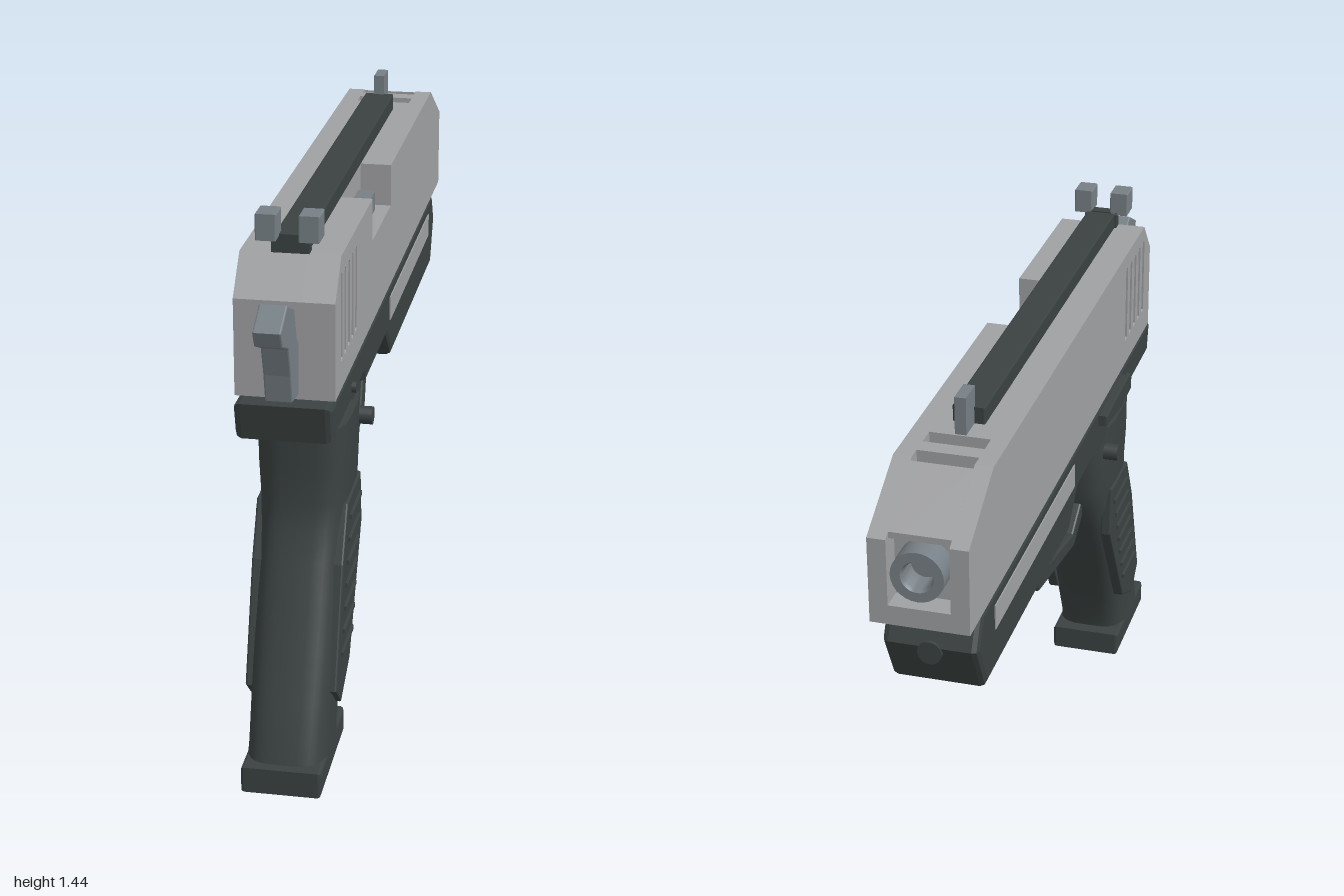
import * as THREE from 'three';
import { toCreasedNormals } from 'three/addons/utils/BufferGeometryUtils.js';

const mat = (name, color) => {
  const m = new THREE.MeshStandardMaterial({ color });
  m.name = name;
  return m;
};

export function createModel() {
  const root = new THREE.Group();
  root.name = 'pistol';
  const slideGrey = mat('slide grey', 0xa0a1a3);
  const steel = mat('blue steel', 0x778086);
  const dark = mat('dark polymer', 0x3a4241);

  const add = (name, geo, material) => {
    const mesh = new THREE.Mesh(geo, material);
    mesh.name = name;
    root.add(mesh);
    return mesh;
  };
  const vecs = (pts) => pts.map(([a, b]) => new THREE.Vector2(a, b));

  // Side profile given as [z, y], filled between x0 and x1
  const slab = (name, pts, x0, x1, material, bevel = 0, holes = []) => {
    const shape = new THREE.Shape(vecs(pts));
    holes.forEach((h) => shape.holes.push(new THREE.Path(vecs(h))));
    const geo = new THREE.ExtrudeGeometry(shape, {
      depth: x1 - x0 - 2 * bevel, bevelEnabled: bevel > 0, bevelThickness: bevel,
      bevelSize: bevel, bevelOffset: -bevel, bevelSegments: 2,
    });
    geo.rotateY(-Math.PI / 2).translate(x1 - bevel, 0, 0);
    return add(name, geo, material);
  };
  const rect = (z0, z1, y0, y1) => [[z0, y0], [z1, y0], [z1, y1], [z0, y1]];
  const pin = (name, r, x0, x1, y, z, material) => {
    const geo = new THREE.CylinderGeometry(r, r, x1 - x0, 20);
    geo.rotateZ(Math.PI / 2).translate((x0 + x1) / 2, y, z);
    return add(name, geo, material);
  };

  // Slide, layered across its width to form port, vents, muzzle recess and serrations
  const slideProfile = (port, core) => [
    [0.8, 1.01], [0.8, 1.25], [0.72, 1.34],
    ...(port ? [[0.27, 1.34], [0.27, 1.23], [-0.03, 1.23], [-0.03, 1.34]] : []),
    ...(core ? [
      [-0.66, 1.34], [-0.66, 1.29], [-0.71, 1.29], [-0.71, 1.34],
      [-0.755, 1.34], [-0.755, 1.28], [-0.8, 1.28], [-0.8, 1.335],
      [-0.97, 1.241], [-0.97, 1.225], [-0.93, 1.225], [-0.93, 1.06], [-0.99, 1.06],
    ] : [[-0.79, 1.34], [-0.99, 1.23]]),
    [-0.99, 1.01],
  ];
  const serrations = [];
  for (let i = 0; i < 5; i++) {
    const z = 0.727 - i * 0.05;
    serrations.push([[z, 1.085], [z - 0.011, 1.078], [z - 0.022, 1.085],
      [z - 0.022, 1.29], [z - 0.011, 1.297], [z, 1.29]]);
  }
  [
    [-0.12, -0.108, false, false, serrations],
    [-0.108, -0.075, false, false, []],
    [-0.075, 0.04, false, true, []],
    [0.04, 0.075, true, true, []],
    [0.075, 0.108, true, false, []],
    [0.108, 0.12, true, false, serrations],
  ].forEach(([x0, x1, port, core, holes], i) =>
    slab('slideLayer' + i, slideProfile(port, core), x0, x1, slideGrey, 0, holes));
  slab('chamberBlock', rect(0.01, 0.235, 1.22, 1.28), 0.03, 0.085, steel);

  // Barrel with open bore
  const barrel = new THREE.LatheGeometry(
    vecs([[0.064, 0], [0.064, 0.1], [0.04, 0.1], [0.035, 0.09], [0.035, 0.035], [0, 0.035]]), 28);
  barrel.rotateX(-Math.PI / 2).translate(0, 1.15, -0.9);
  add('barrel', toCreasedNormals(barrel, 0.6), steel);

  // Hammer, top rib and sights
  slab('hammer', [[0.78, 1.02], [0.87, 1.03], [0.885, 1.1], [0.91, 1.175], [0.98, 1.205], [1, 1.245],
    [0.92, 1.285], [0.84, 1.25], [0.815, 1.17], [0.78, 1.14]], -0.033, 0.033, steel, 0.004);
  slab('topRib', rect(-0.59, 0.72, 1.335, 1.382), -0.04, 0.04, dark, 0.004);
  slab('frontSight', rect(-0.655, -0.582, 1.335, 1.435), -0.014, 0.014, steel);
  for (const s of [-1, 1]) {
    slab('rearSight', rect(0.69, 0.755, 1.378, 1.442), s * 0.051 - 0.025, s * 0.051 + 0.025, steel, 0.003);
  }
  slab('rearSightBase', rect(0.69, 0.72, 1.34, 1.385), -0.045, 0.045, dark);

  // Frame with dust cover
  slab('frame', [[0.84, 1.005], [0.82, 0.91], [0.34, 0.905], [0.33, 0.875], [0, 0.875], [-0.085, 0.79],
    [-0.86, 0.79], [-0.925, 0.92], [-0.88, 1.005]], -0.117, 0.117, dark, 0.016);
  slab('slideRail', rect(-0.86, 0.78, 0.98, 1.015), -0.095, 0.095, dark);
  const cap = new THREE.CylinderGeometry(0.03, 0.03, 0.06, 20);
  cap.rotateX(Math.PI / 2).translate(0, 0.905, -0.897);
  add('guideRodCap', cap, dark);
  for (const s of [-1, 1]) {
    slab('sideStrip', rect(-0.785, -0.045, 0.905, 0.97), s * 0.116 - 0.004, s * 0.116 + 0.004, slideGrey);
    pin('framePin', 0.014, s * 0.118 - 0.01, s * 0.118 + 0.01, 0.948, 0.55, dark);
    pin('gripButton', 0.023, s * 0.12 - 0.02, s * 0.12 + 0.02, 0.8, 0.37, dark);
  }
  slab('slideCatch', [[0.51, 0.935], [0.51, 0.975], [0.48, 0.99], [0.22, 0.985], [0.22, 0.955], [0.4, 0.93]],
    -0.14, -0.112, dark, 0.004);

  // Trigger and guard
  slab('trigger', [[0.23, 0.885], [0.165, 0.885], [0.165, 0.81], [0.19, 0.745], [0.16, 0.67], [0.19, 0.65],
    [0.255, 0.71], [0.228, 0.8]], -0.028, 0.028, steel, 0.004);
  slab('triggerGuard', [[0.4, 0.61], [0.265, 0.54], [-0.105, 0.605], [-0.167, 0.8], [-0.115, 0.8],
    [-0.062, 0.647], [0.257, 0.585], [0.37, 0.65]], -0.04, 0.04, dark, 0.006);

  // Grip lofted from rounded sections: [y, rear z, front z, half width]
  const sections = [
    [0.05, 0.885, 0.61, 0.102], [0.09, 0.872, 0.605, 0.1], [0.2, 0.828, 0.56, 0.102],
    [0.315, 0.78, 0.51, 0.104], [0.44, 0.73, 0.44, 0.105], [0.53, 0.695, 0.39, 0.105],
    [0.6, 0.668, 0.355, 0.107], [0.67, 0.652, 0.332, 0.11], [0.77, 0.658, 0.33, 0.114],
    [0.868, 0.66, 0.335, 0.114], [0.868, 0.5, 0.5, 0],
  ];
  const N = 40, pos = [], idx = [];
  const round = (v) => Math.sign(v) * Math.abs(v) ** 0.55;
  sections.forEach(([y, zb, zf, w], i) => {
    for (let j = 0; j < N; j++) {
      const a = (j / N) * Math.PI * 2;
      pos.push(w * round(Math.cos(a)), y, (zb + zf) / 2 + ((zb - zf) / 2) * round(Math.sin(a)));
      if (i === sections.length - 1) continue;
      const p = i * N + j, q = i * N + ((j + 1) % N);
      idx.push(p, p + N, q, q, p + N, q + N);
    }
  });
  const grip = new THREE.BufferGeometry();
  grip.setAttribute('position', new THREE.Float32BufferAttribute(pos, 3));
  grip.setIndex(idx);
  add('grip', toCreasedNormals(grip, 0.7), dark);
  slab('gripNeck', rect(0.335, 0.44, 0.84, 0.93), -0.1, 0.1, dark, 0.006);

  // Grip side panels with ridges
  for (const s of [-1, 1]) {
    slab('gripPanel', [[0.595, 0.655], [0.405, 0.66], [0.39, 0.52], [0.57, 0.215], [0.695, 0.155],
      [0.765, 0.22], [0.665, 0.52]], s * 0.1 - 0.015, s * 0.1 + 0.015, dark, 0.005);
    for (let i = 0; i < 7; i++) {
      const y = 0.61 - i * 0.053, z = 0.5 + i * 0.021;
      slab('gripRidge', rect(z - 0.075, z + 0.075, y - 0.006, y + 0.006),
        s * 0.116 - 0.006, s * 0.116 + 0.006, dark, 0.002);
    }
  }

  // Magazine base
  slab('magazineBase', rect(0.57, 0.905, 0, 0.068), -0.1, 0.1, dark, 0.008);

  return root;
}
